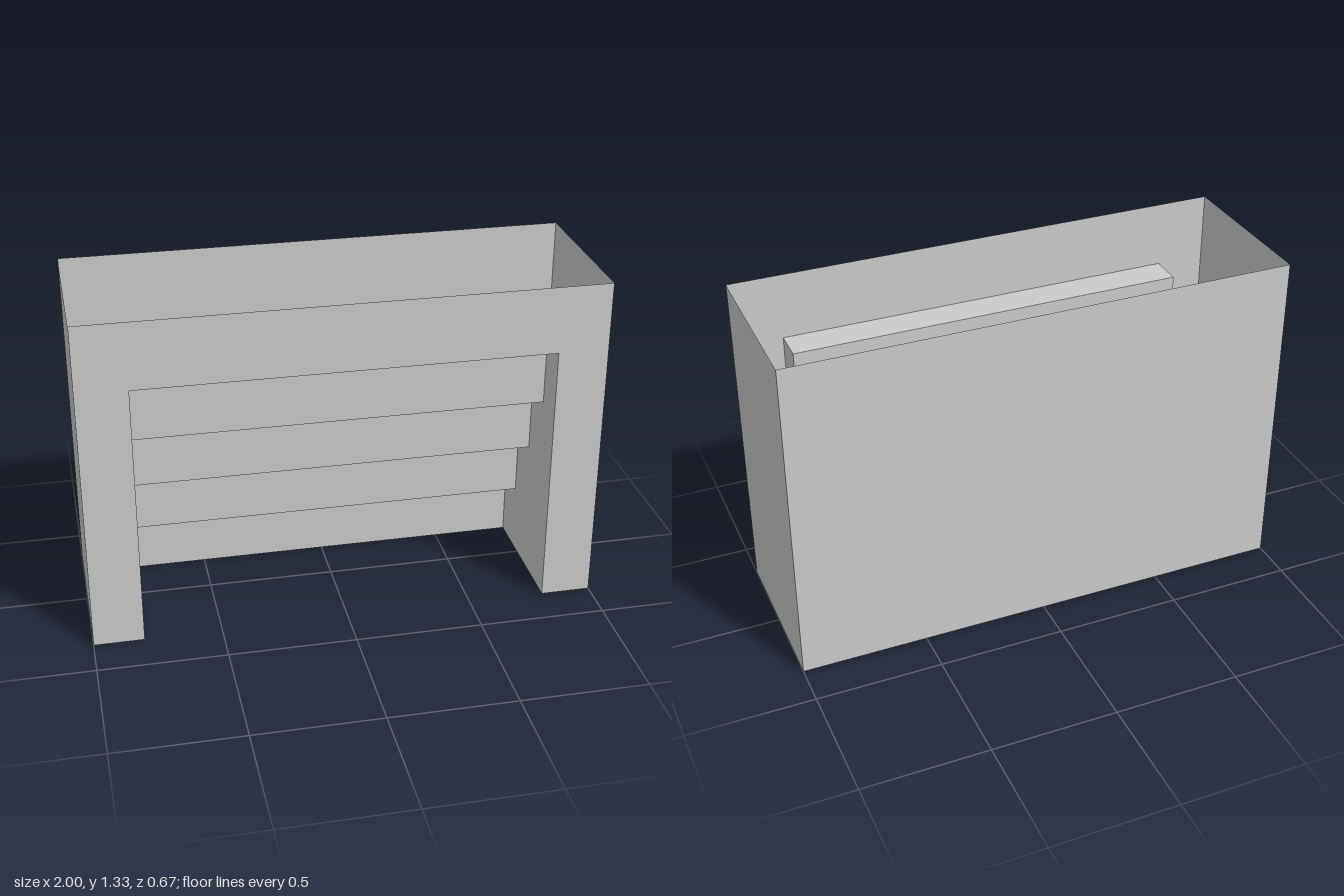
import * as THREE from 'three';

const W = 1, H = 4 / 3, D = 1 / 3;       // half width, height, half depth
const INNER = 0.803;                     // half width of the stepped recess
const STEPS = 4, RISE = H / 5, RUN = 2 * D / 5;

const material = new THREE.MeshStandardMaterial({
  color: 0xcccccc, flatShading: true, side: THREE.DoubleSide,
});

// Flat panel from an outline of [a, b] points
function panel(name, points) {
  const shape = new THREE.Shape(points.map(([a, b]) => new THREE.Vector2(a, b)));
  const mesh = new THREE.Mesh(new THREE.ShapeGeometry(shape), material);
  mesh.name = name;
  return mesh;
}

const rect = (a0, b0, a1, b1) => [[a0, b0], [a1, b0], [a1, b1], [a0, b1]];

// Stand a panel drawn in (x, y) at depth z
function facingZ(mesh, z, back = false) {
  if (back) mesh.geometry.rotateY(Math.PI);
  mesh.geometry.translate(0, 0, z);
  return mesh;
}

// Turn a panel drawn in (z, y) so it stands at x
function facingX(mesh, x) {
  mesh.geometry.rotateY(-Math.PI / 2);
  mesh.geometry.translate(x, 0, 0);
  return mesh;
}

// Lay a panel drawn in (x, z) flat at height y, facing down
function facingDown(mesh, y) {
  mesh.geometry.rotateX(Math.PI / 2);
  mesh.geometry.translate(0, y, 0);
  return mesh;
}

export function createModel() {
  const group = new THREE.Group();
  group.name = 'openSteppedShell';
  const recessTop = STEPS * RISE;

  // Front wall with its doorway, and plain back wall; the top stays open
  group.add(facingZ(panel('frontWall', [
    [-W, 0], [-INNER, 0], [-INNER, recessTop], [INNER, recessTop],
    [INNER, 0], [W, 0], [W, H], [-W, H],
  ]), D));
  group.add(facingZ(panel('backWall', rect(-W, 0, W, H)), -D, true));

  // U-shaped underside
  const backEdge = -D + RUN;
  group.add(facingDown(panel('base', [
    [-W, -D], [W, -D], [W, D], [INNER, D], [INNER, backEdge],
    [-INNER, backEdge], [-INNER, D], [-W, D],
  ]), 0));

  // Stepped outline of the recess, climbing from back to front
  const cheek = [[D, 0], [backEdge, 0]];
  const steps = new THREE.Group();
  steps.name = 'steps';
  for (let i = 0; i < STEPS; i++) {
    const z = backEdge + i * RUN, y = (i + 1) * RISE;
    cheek.push([z, y], [z + RUN, y]);
    steps.add(facingZ(panel('riser', rect(-INNER, i * RISE, INNER, y)), z));
    steps.add(facingDown(panel('tread', rect(-INNER, z, INNER, z + RUN)), y));
  }
  group.add(steps);

  // Outer side walls and inner recess cheeks
  for (const [side, s] of [['left', 1], ['right', -1]]) {
    group.add(facingX(panel(side + 'Wall', rect(-D, 0, D, H)), s * W));
    group.add(facingX(panel(side + 'Cheek', cheek), s * INNER));
  }
  return group;
}
